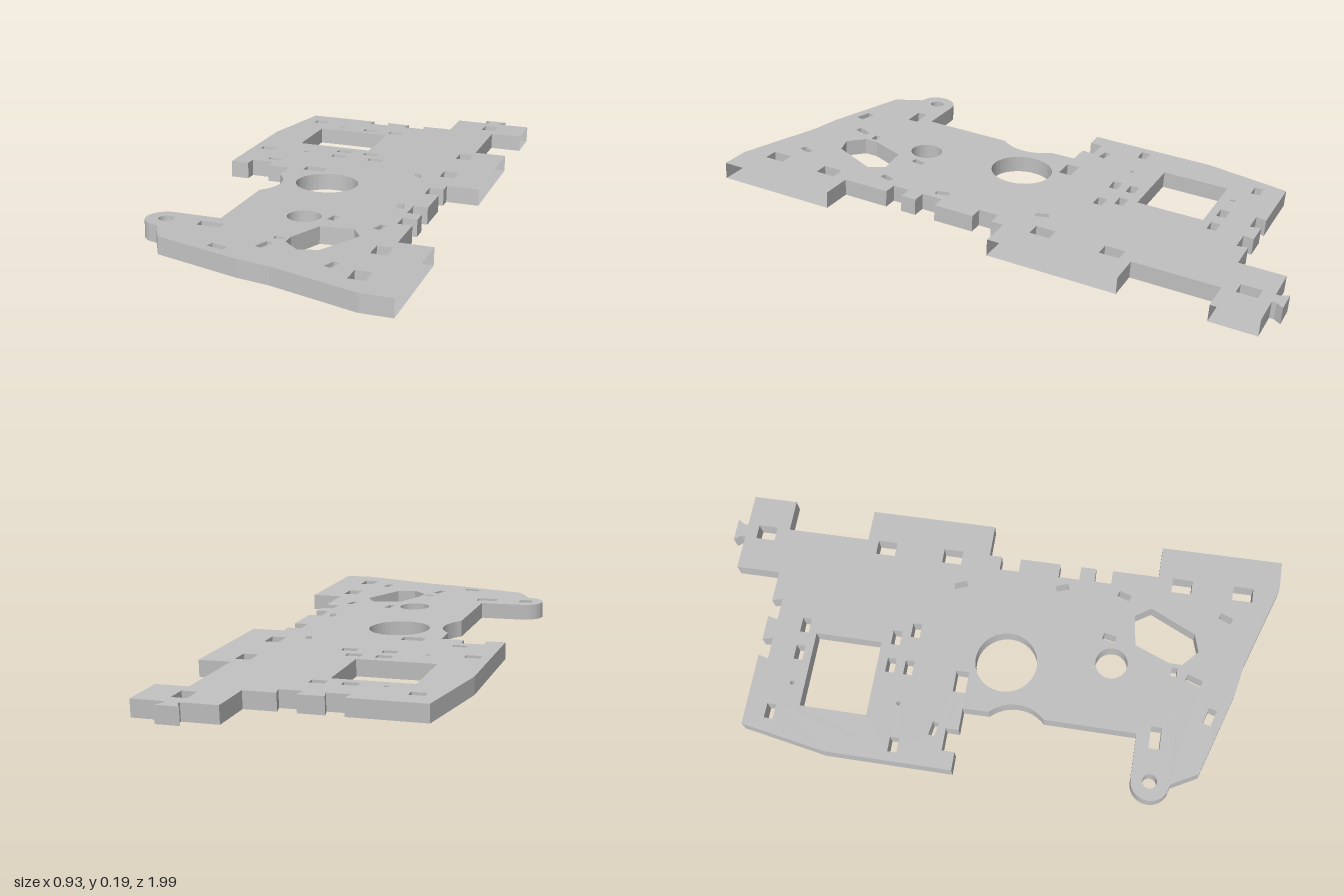
import * as THREE from 'three';

const THICKNESS = 0.059, TILT = 0.0675;
// Plan coordinates are (x, z); shapes use y = -z
const pt = ([x, z]) => new THREE.Vector2(x, -z);
const arc = (cx, cz, r, from, to, n = 12) => Array.from({ length: n + 1 }, (_, i) => {
  const a = THREE.MathUtils.degToRad(from + (to - from) * i / n);
  return [cx + r * Math.cos(a), cz + r * Math.sin(a)];
});
const circle = (cx, cz, r, n = 32) => arc(cx, cz, r, 0, 360, n).slice(0, -1);
const slot = (cx, cz, w, h, deg = 0) => {
  const a = THREE.MathUtils.degToRad(deg), c = Math.cos(a), s = Math.sin(a);
  return [[-1, -1], [1, -1], [1, 1], [-1, 1]].map(([i, j]) => {
    const x = i * w / 2, z = j * h / 2;
    return [cx + x * c - z * s, cz + x * s + z * c];
  });
};

export function createModel() {
  const group = new THREE.Group();
  const grey = new THREE.MeshStandardMaterial({ color: 0xc0c0c0, side: THREE.DoubleSide });
  grey.name = 'plate grey';

  // Outline: rear dovetail, stepped +x edge, slanted front, round ear, -x edge
  const outline = [
    [0.283, -1], [0.365, -1], [0.348, -0.975], [0.348, -0.96],
    [0.465, -0.96], [0.465, -0.8], [0.35, -0.8], [0.35, -0.5],
    [0.465, -0.5], [0.465, -0.045], [0.35, -0.045],
    ...[[0, 0.07], [0.215, 0.29], [0.345, 0.405]].flatMap(([a, b]) =>
      [[0.35, a], [0.3, a], [0.3, b], [0.35, b]]),
    [0.35, 0.57], [0.465, 0.57], [0.465, 0.995], [0.36, 0.995],
    [0.06, 0.9], [-0.05, 0.88], [-0.35, 0.79], [-0.4, 0.7],
    ...arc(-0.4, 0.632, 0.067, 115, 270),
    [-0.24, 0.565],
    ...arc(-0.335, 0.148, 0.136, 45, -45),
    [-0.24, -0.04], [-0.32, -0.04], [-0.32, -0.085], [-0.4, -0.085], [-0.4, -0.04],
    [-0.465, -0.04], [-0.465, -0.49], [-0.41, -0.8],
    [-0.15, -0.8], [-0.16, -0.763], [-0.08, -0.763], [-0.09, -0.8],
    [0, -0.8], [-0.008, -0.763], [0.072, -0.763], [0.063, -0.8],
    [0.175, -0.8], [0.175, -0.96], [0.3, -0.96], [0.3, -0.975],
  ];

  const holes = [
    // Upright slots along the +x edge
    ...[-0.882, -0.425, -0.178, 0.655, 0.87].map(z => slot(0.325, z, 0.053, 0.07)),
    // Small wide slots
    ...[[-0.35, -0.71], [-0.12, -0.655], [-0.015, -0.655], [-0.12, -0.32], [-0.015, -0.32],
      [-0.12, -0.255], [0.022, -0.255], [-0.405, -0.255]].map(([x, z]) => slot(x, z, 0.053, 0.032)),
    slot(-0.145, -0.063, 0.078, 0.045),
    slot(-0.247, 0.63, 0.078, 0.037),
    slot(0, 0.665, 0.033, 0.02),
    // Angled slots
    slot(-0.328, -0.127, 0.05, 0.022, 10),
    slot(-0.145, 0.804, 0.06, 0.028, 16),
    slot(0.22, -0.127, 0.023, 0.046, -20),
    slot(0.26, 0.235, 0.023, 0.046, -18),
    slot(0.26, 0.458, 0.023, 0.046, 20),
    slot(0.094, 0.427, 0.024, 0.046, 12),
    slot(-0.022, 0.737, 0.024, 0.056, 20),
    slot(0.224, 0.821, 0.023, 0.046, 20),
    // Square window and many-sided window
    slot(-0.177, -0.49, 0.275, 0.24),
    [[0.08, 0.52], [0.19, 0.505], [0.225, 0.56], [0.15, 0.72], [0.085, 0.74], [0.03, 0.69], [0.03, 0.645]],
    // Round holes
    circle(-0.05, 0.082, 0.109, 40), circle(0, 0.447, 0.056),
    circle(-0.4, 0.63, 0.025, 20), circle(-0.235, -0.655, 0.008, 10), circle(-0.255, -0.265, 0.008, 10),
  ];

  const shape = new THREE.Shape(outline.map(pt));
  shape.holes = holes.map(h => new THREE.Path(h.map(pt)));
  const solid = new THREE.ExtrudeGeometry(shape, { depth: THICKNESS, bevelEnabled: false });

  // Leave the outermost +x ends open
  const p = solid.attributes.position, kept = [];
  for (let i = 0; i < p.count; i += 3) {
    if ([0, 1, 2].every(k => p.getX(i + k) > 0.46)) continue;
    for (let k = 0; k < 3; k++) kept.push(p.getX(i + k), p.getY(i + k), p.getZ(i + k));
  }
  const geometry = new THREE.BufferGeometry();
  geometry.setAttribute('position', new THREE.Float32BufferAttribute(kept, 3));
  geometry.computeVertexNormals();

  // Lay flat, then raise the front
  geometry.rotateX(-Math.PI / 2).rotateX(-TILT).translate(0, 0.0675, 0.002);
  const plate = new THREE.Mesh(geometry, grey);
  plate.name = 'mountingPlate';
  group.add(plate);
  return group;
}
